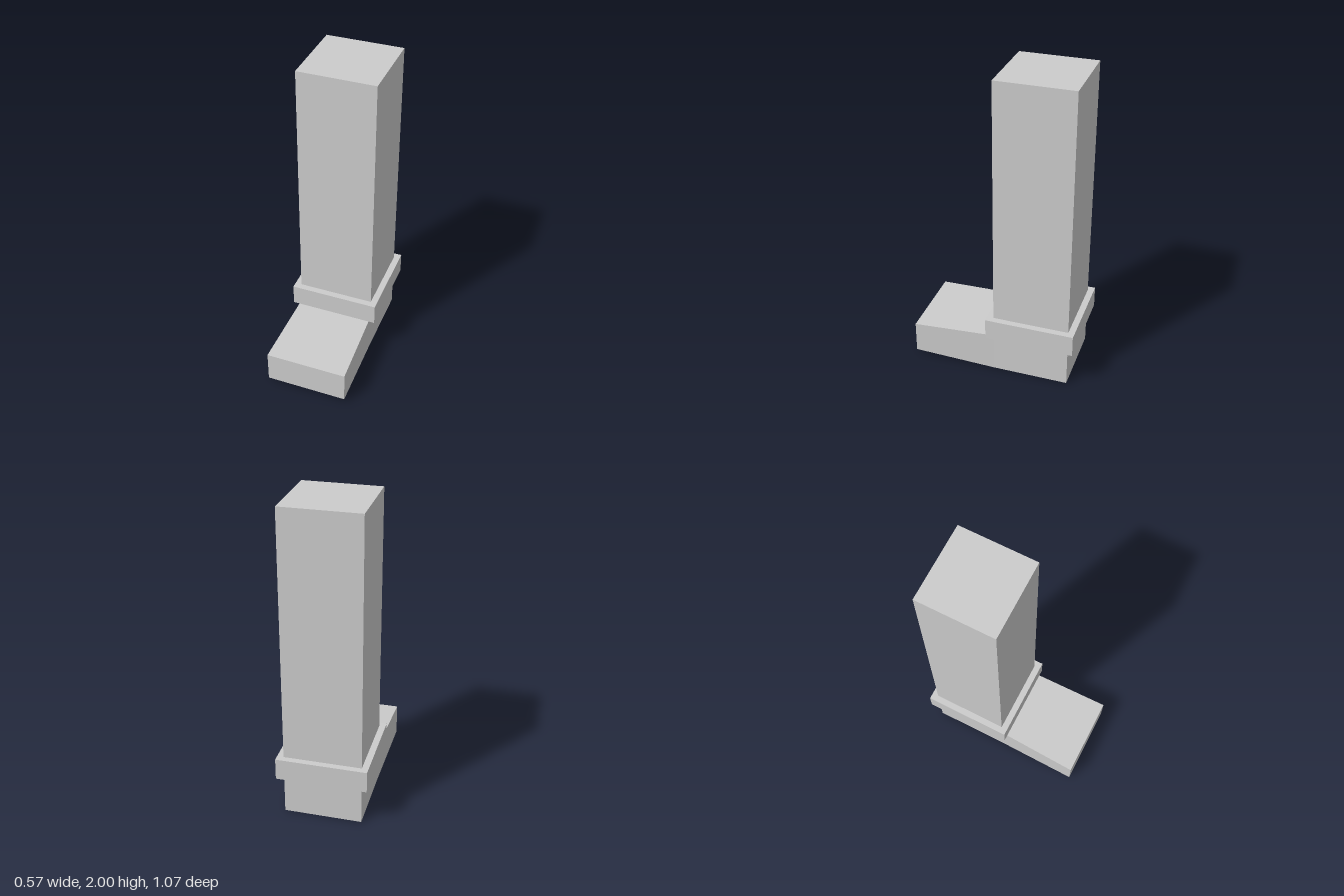
import * as THREE from 'three';

const material = new THREE.MeshStandardMaterial({ color: 0xcccccc, flatShading: true });

// Box given by its extents, with an optional rule that moves its vertices
function block(name, [x0, x1], [y0, y1], [z0, z1], shape) {
  const geometry = new THREE.BoxGeometry(x1 - x0, y1 - y0, z1 - z0);
  geometry.translate((x0 + x1) / 2, (y0 + y1) / 2, (z0 + z1) / 2);
  if (shape) {
    const p = geometry.attributes.position;
    for (let i = 0; i < p.count; i++) {
      p.setXYZ(i, ...shape(p.getX(i), p.getY(i), p.getZ(i)));
    }
    geometry.computeVertexNormals();
  }
  const mesh = new THREE.Mesh(geometry, material);
  mesh.name = name;
  return mesh;
}

export function createModel() {
  const model = new THREE.Group();
  model.name = 'bootedLeg';
  const halfWidth = 0.246, back = -0.496, front = -0.005, toe = 0.532;

  // Upright leg above the cuff
  model.add(block('leg', [-halfWidth, halfWidth], [0.4, 2], [back, front]));

  // Wider band around the ankle
  model.add(block('cuff', [-0.287, 0.287], [0.26, 0.4], [-0.536, 0.036]));

  // Heel block beneath the leg
  model.add(block('heel', [-halfWidth, halfWidth], [0, 0.26], [back, front]));

  // Forefoot: flares sideways and thins towards the toe
  model.add(block('forefoot', [-halfWidth, halfWidth], [0, 0.26], [front, toe], (x, y, z) =>
    z > 0.1 ? [Math.sign(x) * 0.262, y > 0.1 ? 0.236 : 0.028, z] : [x, y, z]));

  return model;
}
